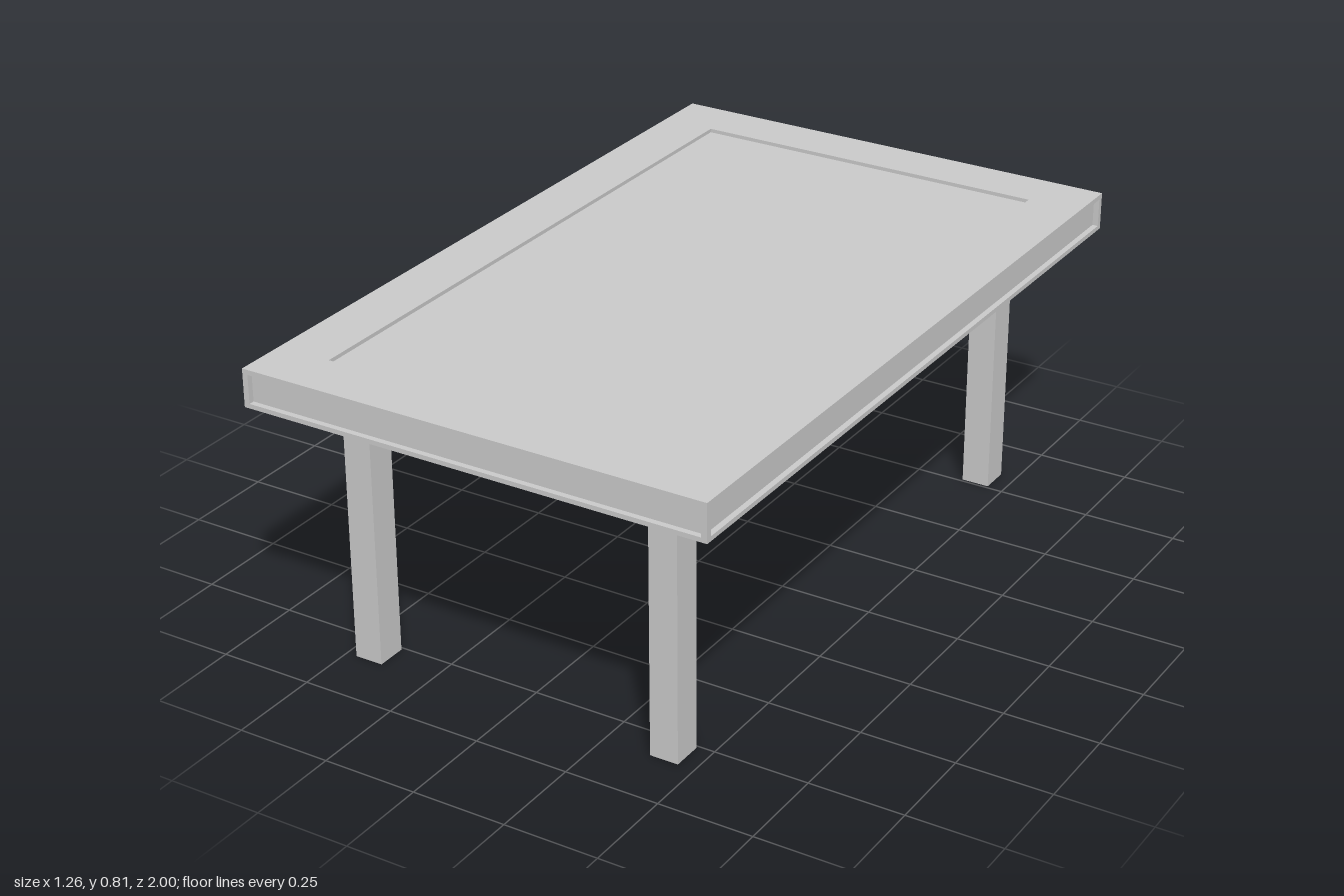
import * as THREE from 'three';

const W = 1.26, L = 2;          // table top width (x) and length (z)
const OPEN_W = 0.97, OPEN_L = 1.72; // opening inside the frame
const BOTTOM = 0.71, TOP = 0.81;
const REVEAL = 0.015;           // depth of the recessed side panels

const material = new THREE.MeshStandardMaterial({ color: 0xcccccc, flatShading: true });

function add(group, geometry, name, x = 0, y = 0, z = 0) {
  const mesh = new THREE.Mesh(geometry, material);
  mesh.name = name;
  mesh.position.set(x, y, z);
  group.add(mesh);
}

// Rectangular outline as a list of points
function rect(w, l) {
  return [[-1, -1], [1, -1], [1, 1], [-1, 1]].map(([a, b]) => new THREE.Vector2(a * w / 2, b * l / 2));
}

// Flat rectangular ring lying in the xz plane, rising from y = 0
function ring(w, l, height) {
  const shape = new THREE.Shape(rect(w, l));
  shape.holes.push(new THREE.Path(rect(OPEN_W, OPEN_L).reverse()));
  return new THREE.ExtrudeGeometry(shape, { depth: height, bevelEnabled: false }).rotateX(-Math.PI / 2);
}

export function createModel() {
  const table = new THREE.Group();
  table.name = 'table';

  // Frame: two rims with a set-back band between them
  const bandLow = 0.722, bandHigh = 0.797;
  add(table, ring(W, L, BOTTOM * -1 + bandLow), 'lowerRim', 0, BOTTOM);
  add(table, ring(W - 2 * REVEAL, L - 2 * REVEAL, bandHigh - bandLow), 'recessedSidePanels', 0, bandLow);
  add(table, ring(W, L, TOP - bandHigh), 'upperRim', 0, bandHigh);

  // Slightly sunken panel that closes the top
  add(table, new THREE.BoxGeometry(OPEN_W, 0.008, OPEN_L), 'topPanel', 0, 0.796);

  const bandHeight = bandHigh - bandLow;
  const legHeight = 0.792;
  for (const sx of [-1, 1]) {
    for (const sz of [-1, 1]) {
      // Narrow post that ends the side panels at each corner
      add(table, new THREE.BoxGeometry(REVEAL, bandHeight, REVEAL), 'cornerPost',
        sx * (W - REVEAL) / 2, (bandLow + bandHigh) / 2, sz * (L - REVEAL) / 2);
      // Square leg reaching up to the underside of the panel
      add(table, new THREE.BoxGeometry(0.076, legHeight, 0.082), 'leg',
        sx * 0.425 - 0.008, legHeight / 2, sz * 0.799);
    }
  }
  return table;
}
